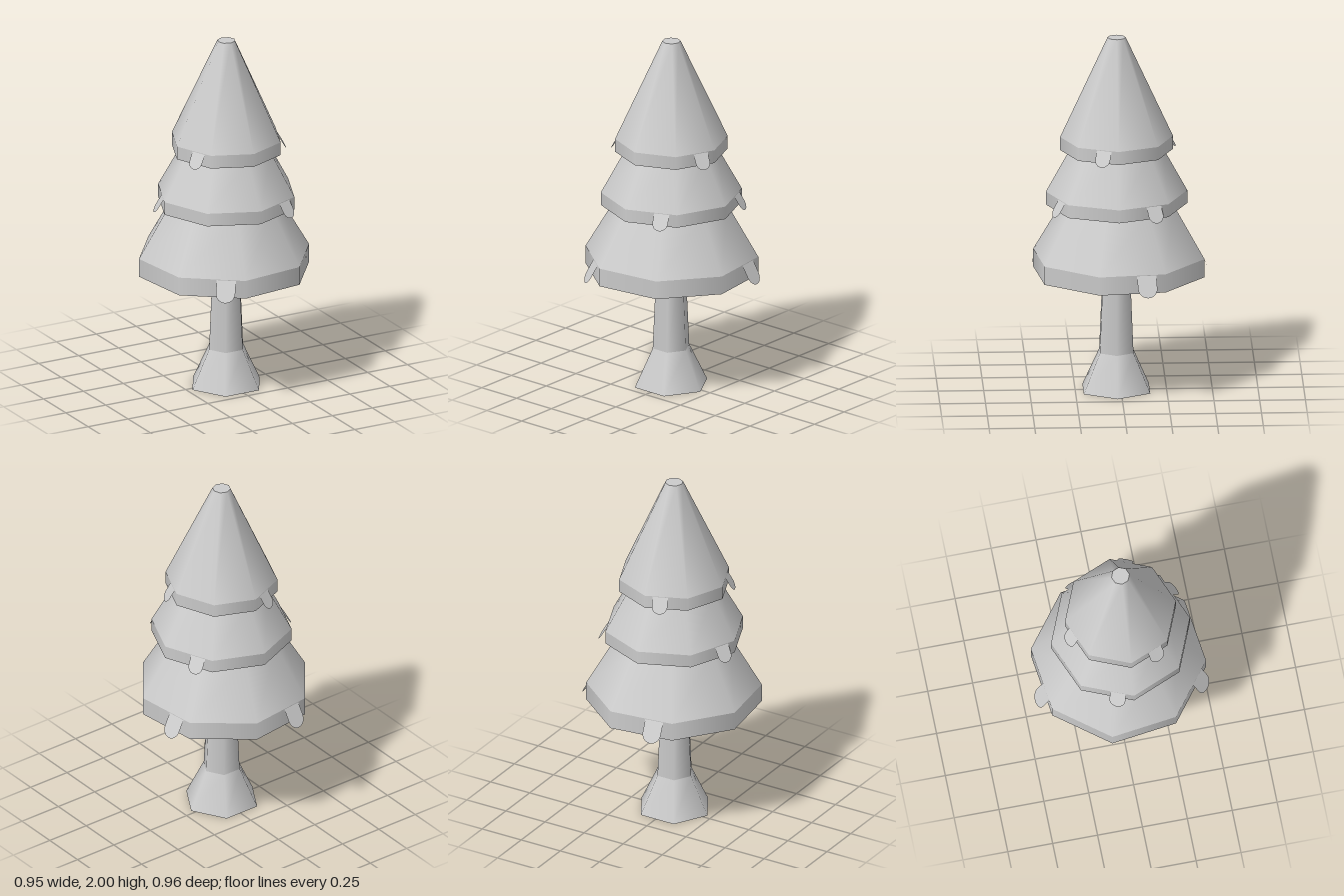
import * as THREE from 'three';

const rad = THREE.MathUtils.degToRad;

// Flat tab with a rounded lower end, hanging down from its origin
function tabGeometry(width, length) {
  const r = width / 2;
  const s = new THREE.Shape();
  s.moveTo(r, 0);
  s.lineTo(-r, 0);
  s.lineTo(-r, -length + r);
  s.absarc(0, -length + r, r, Math.PI, Math.PI * 2, false);
  s.closePath();
  return new THREE.ShapeGeometry(s, 6);
}

export function createModel() {
  const tree = new THREE.Group();
  tree.name = 'tree';
  const mat = new THREE.MeshStandardMaterial({ color: 0xcccccc });
  const thin = new THREE.MeshStandardMaterial({ color: 0xcccccc, side: THREE.DoubleSide });

  // Tapered prism between heights y0 and y1
  function frustum(name, r0, r1, y0, y1, sides, turn, parent) {
    const m = new THREE.Mesh(new THREE.CylinderGeometry(r1, r0, y1 - y0, sides), mat);
    m.name = name;
    m.position.y = (y0 + y1) / 2;
    m.rotation.y = rad(turn);
    parent.add(m);
  }

  // Six-sided trunk with a flared foot
  const trunk = new THREE.Group();
  trunk.name = 'trunk';
  trunk.position.set(-0.01, 0, 0.024);
  frustum('trunkFoot', 0.21, 0.106, 0, 0.216, 6, 30, trunk);
  frustum('trunkStem', 0.106, 0.084, 0.216, 0.7, 6, 30, trunk);
  tree.add(trunk);

  // Foliage tiers: a vertical rim, a sloping cone and three tabs [face angle, sideways shift]
  const tiers = [
    { name: 'lowerFoliage', x: -0.015, z: 0.01, r: 0.48, top: 0.305, y: [0.663, 0.766, 1.065], turn: 30,
      width: 0.107, length: 0.13, tilt: 29, tabs: [[-97.5, -0.078], [-7.5, -0.078], [127.5, -0.078]] },
    { name: 'middleFoliage', x: -0.008, z: 0.023, r: 0.387, top: 0.25, y: [1.053, 1.126, 1.375], turn: 0,
      width: 0.088, length: 0.1, tilt: 31, tabs: [[-22.5, -0.06], [-157.5, -0.06], [67.5, -0.06]] },
    { name: 'upperFoliage', x: -0.008, z: 0.023, r: 0.309, top: 0.05, y: [1.362, 1.436, 2], turn: 0,
      width: 0.086, length: 0.098, tilt: 30, tabs: [[-112.5, 0.032], [157.5, -0.034], [22.5, -0.034]] },
  ];
  for (const t of tiers) {
    const tier = new THREE.Group();
    tier.name = t.name;
    tier.position.set(t.x, 0, t.z);
    frustum(t.name + 'Rim', t.r, t.r, t.y[0], t.y[1], 8, t.turn, tier);
    frustum(t.name + 'Cone', t.r, t.top, t.y[1], t.y[2], 8, t.turn, tier);

    const geo = tabGeometry(t.width, t.length);
    for (const [angle, shift] of t.tabs) {
      const pivot = new THREE.Group();
      pivot.name = 'hangingTab';
      pivot.rotation.y = rad(90 - angle);
      const tab = new THREE.Mesh(geo, thin);
      tab.name = 'tab';
      tab.position.set(-shift, t.y[1], t.r * Math.cos(Math.PI / 8) - 0.002);
      tab.rotation.x = -rad(t.tilt);
      pivot.add(tab);
      tier.add(pivot);
    }
    tree.add(tier);
  }
  return tree;
}
